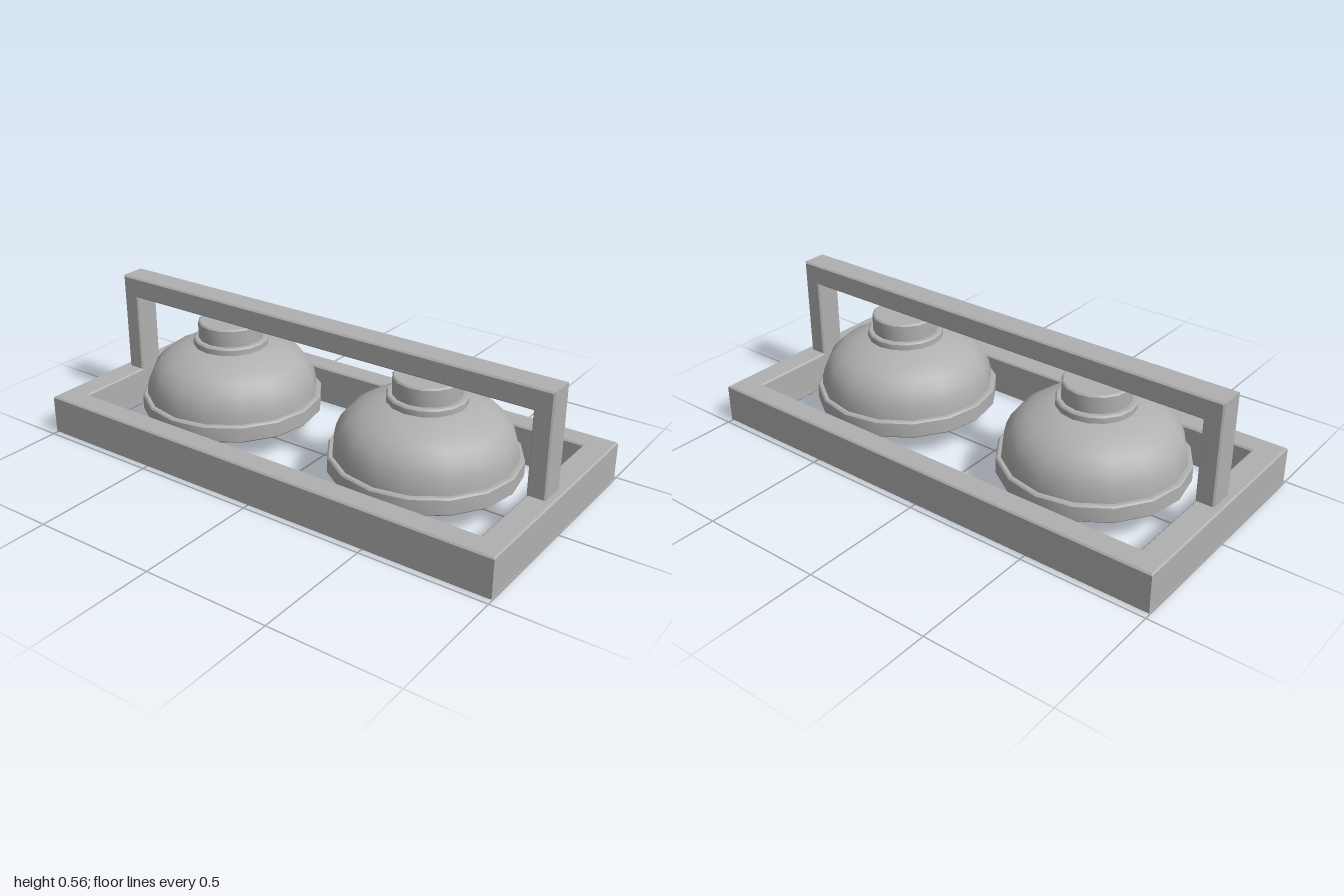
import * as THREE from 'three';
import { toCreasedNormals } from 'three/addons/utils/BufferGeometryUtils.js';

const BEVEL = 0.006;

// Extrude a shape between 0 and depth with a small chamfer inside its outline
function chamferedExtrude(shape, depth) {
  const geo = new THREE.ExtrudeGeometry(shape, {
    depth: depth - 2 * BEVEL, bevelEnabled: true, bevelSegments: 1,
    bevelSize: BEVEL, bevelThickness: BEVEL, bevelOffset: -BEVEL,
  });
  return geo.translate(0, 0, BEVEL);
}

function rectangle(Path, x, y) {
  return new Path([[-x, -y], [x, -y], [x, y], [-x, y]].map(([a, b]) => new THREE.Vector2(a, b)));
}

// Sixteen-sided turned part, smooth around and sharp at its corners
function turned(name, profile, material) {
  const points = profile.map(([r, y]) => new THREE.Vector2(r, y));
  const mesh = new THREE.Mesh(toCreasedNormals(new THREE.LatheGeometry(points, 16), 0.6), material);
  mesh.name = name;
  return mesh;
}

function createBell(name, x, material) {
  const bell = new THREE.Group();
  bell.name = name;
  bell.position.set(x, 0, 0.005);
  bell.add(
    turned('rim', [[0, 0.1], [0.357, 0.1], [0.363, 0.106], [0.363, 0.163], [0.357, 0.169], [0, 0.169]], material),
    turned('dome', [[0.344, 0.165], [0.341, 0.2], [0.333, 0.237], [0.316, 0.275], [0.288, 0.308],
      [0.25, 0.335], [0.205, 0.355], [0.145, 0.374], [0, 0.38]], material),
    turned('collar', [[0.15, 0.365], [0.15, 0.394], [0.144, 0.4], [0, 0.4]], material),
    turned('neck', [[0.129, 0.395], [0.129, 0.464], [0.123, 0.47], [0, 0.47]], material),
  );
  return bell;
}

export function createModel() {
  const group = new THREE.Group();
  group.name = 'twinBellFrame';
  const grey = new THREE.MeshStandardMaterial({ color: 0xb0b0b0 });
  grey.name = 'grey';

  // Open rectangular base
  const baseShape = rectangle(THREE.Shape, 1, 0.48);
  baseShape.holes.push(rectangle(THREE.Path, 0.9, 0.384));
  const base = new THREE.Mesh(chamferedExtrude(baseShape, 0.16).rotateX(-Math.PI / 2), grey);
  base.name = 'baseFrame';
  group.add(base);

  // Handle bridging the two short sides
  const outline = [[-0.973, 0.155], [-0.9, 0.155], [-0.9, 0.48], [0.9, 0.48],
    [0.9, 0.155], [0.973, 0.155], [0.973, 0.565], [-0.973, 0.565]];
  const handleShape = new THREE.Shape(outline.map(([x, y]) => new THREE.Vector2(x, y)));
  const handle = new THREE.Mesh(chamferedExtrude(handleShape, 0.108).translate(0, 0, -0.036), grey);
  handle.name = 'handle';
  group.add(handle);

  // Pair of bells
  group.add(createBell('leftBell', 0.457, grey), createBell('rightBell', -0.457, grey));
  return group;
}
